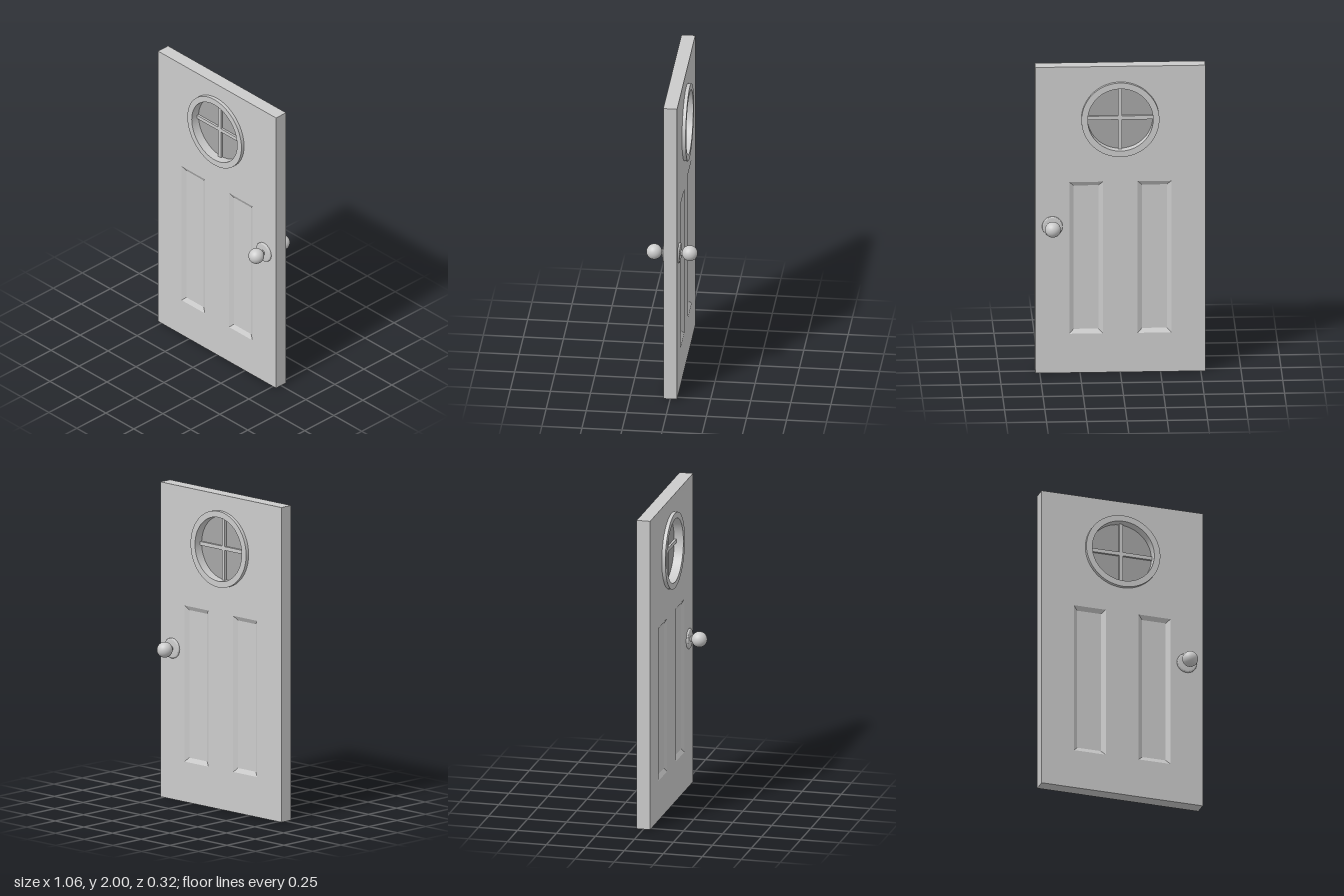
import * as THREE from 'three';
import { toCreasedNormals } from 'three/addons/utils/BufferGeometryUtils.js';

const HALF_W = 0.528, HALF_T = 0.043;
const WINDOW_Y = 1.656;
const PANEL = { x: 0.2125, y: 0.751, w: 0.209, h: 0.992, bevel: 0.027, depth: 0.015 };

const grey = new THREE.MeshStandardMaterial({ color: 0xcccccc });
const glass = new THREE.MeshStandardMaterial({ color: 0xa6a6a6 });

function add(parent, name, geometry, material = grey) {
  const mesh = new THREE.Mesh(geometry, material);
  mesh.name = name;
  parent.add(mesh);
  return mesh;
}

function circlePath(y, r) {
  return new THREE.Path().absarc(0, y, r, 0, Math.PI * 2, true);
}

function rectPoints(x, y, w, h) {
  return [[-1, -1], [1, -1], [1, 1], [-1, 1]].map(
    ([sx, sy]) => new THREE.Vector2(x + sx * w / 2, y + sy * h / 2));
}

// Extrusion centred on z = 0, smooth round the curves and sharp at the rims
function slab(shape, depth) {
  const geo = new THREE.ExtrudeGeometry(shape, { depth, bevelEnabled: false, curveSegments: 48 });
  geo.translate(0, 0, -depth / 2);
  return toCreasedNormals(geo, 0.6);
}

// Sunken panel facing +z: four sloping sides round a flat floor
function sunkenPanel({ w, h, bevel, depth }) {
  const outer = rectPoints(0, 0, w, h);
  const inner = rectPoints(0, 0, w - 2 * bevel, h - 2 * bevel);
  const pos = [], index = [4, 5, 6, 4, 6, 7];
  outer.forEach(p => pos.push(p.x, p.y, 0));
  inner.forEach(p => pos.push(p.x, p.y, -depth));
  for (let i = 0; i < 4; i++) {
    const j = (i + 1) % 4;
    index.push(i, j, j + 4, i, j + 4, i + 4);
  }
  const indexed = new THREE.BufferGeometry();
  indexed.setAttribute('position', new THREE.Float32BufferAttribute(pos, 3));
  indexed.setIndex(index);
  const geo = indexed.toNonIndexed();
  geo.computeVertexNormals();
  return geo;
}

// Door knob pointing along +z from the door face
function makeKnob() {
  const knob = new THREE.Group();
  const profile = [[0.064, 0], [0.064, 0.007], [0.061, 0.011], [0.055, 0.012], [0.017, 0.012], [0.017, 0.035]]
    .map(([r, y]) => new THREE.Vector2(r, y));
  const base = new THREE.LatheGeometry(profile, 40);
  base.rotateX(Math.PI / 2);
  add(knob, 'knobPlateAndNeck', toCreasedNormals(base, 0.8));
  const ball = new THREE.SphereGeometry(0.049, 40, 24);
  ball.rotateX(Math.PI / 2);
  add(knob, 'knobBall', ball).position.z = 0.068;
  return knob;
}

export function createModel() {
  const door = new THREE.Group();
  door.name = 'door';

  // Leaf with openings for the window and both panels
  const leaf = new THREE.Shape(rectPoints(0, 1, HALF_W * 2, 2));
  leaf.holes.push(circlePath(WINDOW_Y, 0.222));
  for (const side of [-1, 1]) {
    leaf.holes.push(new THREE.Path(rectPoints(side * PANEL.x, PANEL.y, PANEL.w, PANEL.h).reverse()));
  }
  add(door, 'doorLeaf', slab(leaf, HALF_T * 2));

  // Panels and knobs on both faces
  for (const face of [1, -1]) {
    const label = face > 0 ? 'front' : 'back';
    const turn = face > 0 ? 0 : Math.PI;
    for (const side of [-1, 1]) {
      const panel = add(door, `${label}Panel${side > 0 ? 'Left' : 'Right'}`, sunkenPanel(PANEL));
      panel.position.set(side * PANEL.x, PANEL.y, face * HALF_T);
      panel.rotation.y = turn;
    }
    const knob = makeKnob();
    knob.name = `${label}Knob`;
    knob.position.set(0.422, 0.96, face * HALF_T);
    knob.rotation.y = turn;
    door.add(knob);
  }

  // Round window: frame, pane and crossed glazing bars
  const roundWindow = new THREE.Group();
  roundWindow.name = 'roundWindow';
  roundWindow.position.y = WINDOW_Y;
  door.add(roundWindow);
  const ring = new THREE.Shape().absarc(0, 0, 0.242, 0, Math.PI * 2, false);
  ring.holes.push(circlePath(0, 0.203));
  add(roundWindow, 'windowFrame', slab(ring, 0.131));
  const pane = new THREE.CylinderGeometry(0.21, 0.21, 0.014, 48);
  pane.rotateX(Math.PI / 2);
  add(roundWindow, 'windowPane', pane, glass);
  add(roundWindow, 'verticalBar', new THREE.BoxGeometry(0.024, 0.412, 0.042));
  add(roundWindow, 'horizontalBar', new THREE.BoxGeometry(0.412, 0.024, 0.0418));

  return door;
}
